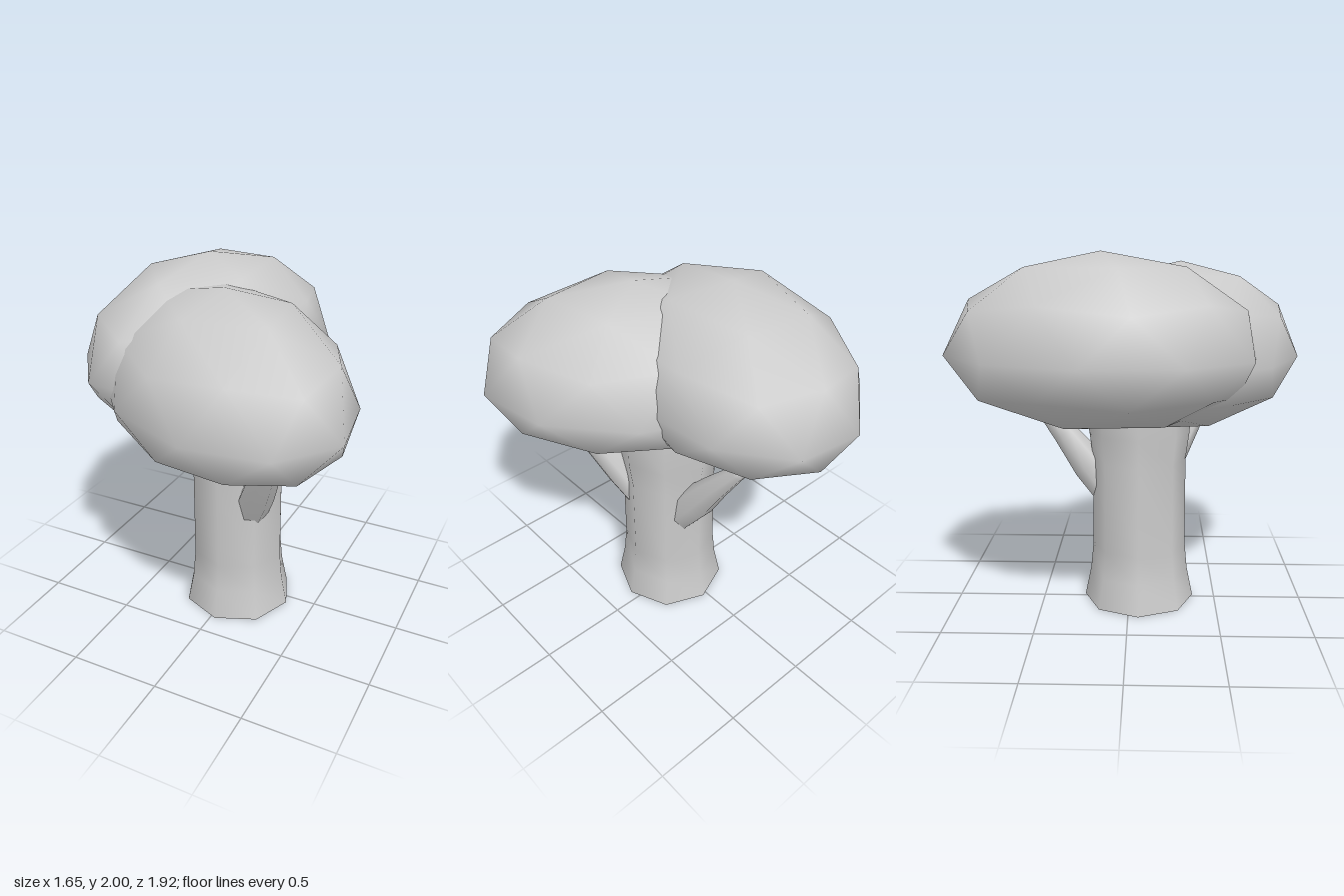
import * as THREE from 'three';
import { mergeVertices } from 'three/addons/utils/BufferGeometryUtils.js';

const material = new THREE.MeshStandardMaterial({ color: 0xcccccc });

// Weld the vertices and give the surface smooth normals.
function smooth(geometry) {
  geometry.deleteAttribute('uv');
  geometry.deleteAttribute('normal');
  const welded = mergeVertices(geometry, 1e-3);
  welded.computeVertexNormals();
  return welded;
}

function addMesh(group, name, geometry) {
  const mesh = new THREE.Mesh(geometry, material);
  mesh.name = name;
  group.add(mesh);
  return mesh;
}

// Icosphere with a pole up, stretched along two ground axes a and b ([x, z]),
// taller above its equator than below it.
function foliage(center, a, b, up, down, turn) {
  const geo = new THREE.IcosahedronGeometry(1, 1);
  geo.rotateZ(Math.atan(2 / (1 + Math.sqrt(5))));
  const p = geo.attributes.position;
  for (let i = 0; i < p.count; i++) {
    const r = Math.hypot(p.getX(i), p.getZ(i));
    const t = Math.atan2(p.getZ(i), p.getX(i)) + turn;
    const c = r * Math.cos(t), s = r * Math.sin(t), y = p.getY(i);
    p.setXYZ(i,
      center[0] + a[0] * c + b[0] * s,
      center[1] + y * (y > 0 ? up : down),
      center[2] + a[1] * c + b[1] * s);
  }
  return smooth(geo);
}

// Tapered limb through rings of [x, y, z, radius], listed from tip to root.
function limb(rings) {
  const n = rings.length - 1;
  const geo = new THREE.CylinderGeometry(1, 1, 1, 7, n, true);
  const centers = rings.map(r => new THREE.Vector3(r[0], r[1], r[2]));
  const axis = centers[0].clone().sub(centers[n]).normalize();
  const q = new THREE.Quaternion().setFromUnitVectors(new THREE.Vector3(0, 1, 0), axis);
  const p = geo.attributes.position;
  const v = new THREE.Vector3();
  for (let i = 0; i < p.count; i++) {
    const k = Math.round((0.5 - p.getY(i)) * n);
    v.set(p.getX(i), 0, p.getZ(i)).multiplyScalar(rings[k][3]);
    v.applyQuaternion(q).add(centers[k]);
    p.setXYZ(i, v.x, v.y, v.z);
  }
  return smooth(geo);
}

export function createModel() {
  const tree = new THREE.Group();
  tree.name = 'tree';

  // Eight-sided trunk, flared at the foot and under the crown
  const trunk = new THREE.Group();
  trunk.name = 'trunk';
  trunk.position.set(0.027, 0, 0.057);
  tree.add(trunk);
  const profile = [[0.317, 0], [0.282, 0.17], [0.267, 0.33], [0.265, 0.84], [0.286, 1.0], [0.29, 1.25]]
    .map(([r, y]) => new THREE.Vector2(r, y));
  addMesh(trunk, 'trunkSide', smooth(new THREE.LatheGeometry(profile, 8)));
  addMesh(trunk, 'trunkBase', new THREE.CircleGeometry(0.317, 8).rotateX(Math.PI / 2));

  // Two branches reaching up into the crown
  addMesh(tree, 'frontBranch', limb([
    [0.41, 1.23, 0.46, 0], [0.40, 1.2, 0.445, 0.06], [0.345, 1.07, 0.38, 0.08],
    [0.225, 0.8, 0.235, 0.095], [0.13, 0.6, 0.14, 0.095],
  ]));
  addMesh(tree, 'backBranch', limb([
    [0.07, 1.205, -0.555, 0], [0.07, 1.18, -0.535, 0.042], [0.07, 0.98, -0.375, 0.072],
    [0.07, 0.79, -0.235, 0.1], [0.07, 0.6, -0.09, 0.1],
  ]));

  // Two overlapping clumps of leaves
  const turn = Math.PI / 10;
  addMesh(tree, 'backFoliage',
    foliage([-0.24, 1.47, -0.14], [-0.07, -0.82], [0.594, -0.184], 0.53, 0.4, turn));
  addMesh(tree, 'frontFoliage',
    foliage([0.06, 1.41, 0.28], [0.76, 0.34], [-0.137, 0.602], 0.535, 0.38, -turn));

  return tree;
}
